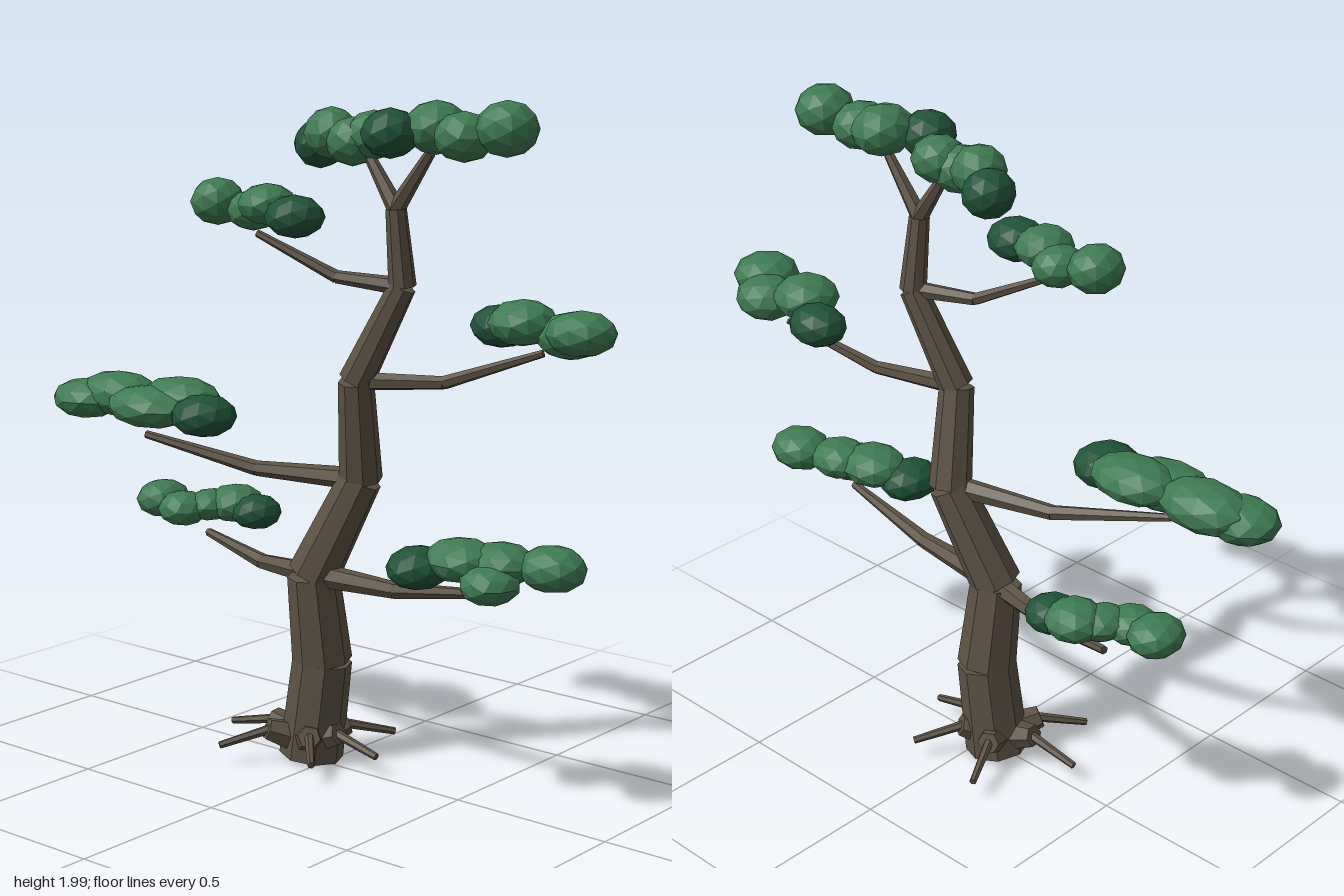
import * as THREE from 'three';

const mat = (name, color) => {
  const m = new THREE.MeshStandardMaterial({ color, flatShading: true });
  m.name = name;
  return m;
};

export function createModel() {
  const tree = new THREE.Group();
  tree.name = 'bonsaiTree';
  const bark = mat('bark', 0x5c5245);
  const leaf = mat('leafGreen', 0x3e7a52);
  const shade = mat('darkLeafGreen', 0x205239);

  // Chain of tapered straight limbs; each point is [x, y, z, radius]
  function limb(name, points, sides) {
    const group = new THREE.Group();
    group.name = name;
    for (let i = 0; i < points.length - 1; i++) {
      const a = new THREE.Vector3(...points[i].slice(0, 3));
      const b = new THREE.Vector3(...points[i + 1].slice(0, 3));
      const dir = b.clone().sub(a);
      const geo = new THREE.CylinderGeometry(points[i + 1][3], points[i][3], dir.length(), sides);
      const mesh = new THREE.Mesh(geo, bark);
      mesh.name = name + 'Segment';
      mesh.position.copy(a).add(b).multiplyScalar(0.5);
      mesh.quaternion.setFromUnitVectors(new THREE.Vector3(0, 1, 0), dir.normalize());
      group.add(mesh);
    }
    tree.add(group);
  }

  // Foliage pad: faceted ellipsoids [x, y, z, rx, ry, rz], the first one dark
  function pad(name, blobs) {
    const group = new THREE.Group();
    group.name = name;
    blobs.forEach(([x, y, z, rx, ry, rz], i) => {
      const geo = new THREE.IcosahedronGeometry(1, 1);
      geo.rotateY(i * 1.3);
      geo.scale(rx, ry, rz);
      const mesh = new THREE.Mesh(geo, i === 0 ? shade : leaf);
      mesh.name = i === 0 ? 'darkClump' : 'leafClump';
      mesh.position.set(x, y, z);
      group.add(mesh);
    });
    tree.add(group);
  }

  // Crooked trunk
  limb('trunk', [
    [-0.06, 0.02, -0.01, 0.097], [-0.025, 0.32, -0.02, 0.09], [-0.03, 0.59, 0.015, 0.078],
    [0.105, 0.89, -0.04, 0.064], [0.135, 1.19, 0.02, 0.052], [0.27, 1.47, -0.02, 0.04],
    [0.265, 1.69, 0.005, 0.03],
  ], 8);

  // Branches and the fork at the top
  limb('lowRightBranch', [[-0.03, 0.59, 0.01, 0.035], [-0.27, 0.58, -0.03, 0.024], [-0.54, 0.62, -0.08, 0.013]], 6);
  limb('lowLeftBranch', [[-0.03, 0.59, 0.01, 0.038], [0.29, 0.6, 0.03, 0.025], [0.63, 0.655, 0.06, 0.013]], 6);
  limb('middleRightBranch', [[0.105, 0.89, -0.03, 0.034], [-0.22, 0.89, 0.05, 0.023], [-0.57, 0.965, 0.16, 0.012]], 6);
  limb('upperLeftBranch', [[0.135, 1.19, 0.02, 0.028], [0.38, 1.2, -0.07, 0.02], [0.65, 1.3, -0.17, 0.011]], 6);
  limb('upperRightBranch', [[0.27, 1.47, -0.015, 0.026], [0.07, 1.485, 0.03, 0.019], [-0.16, 1.6, 0.11, 0.011]], 6);
  limb('forkRight', [[0.265, 1.69, 0.005, 0.026], [0.16, 1.85, 0.01, 0.015]], 6);
  limb('forkLeft', [[0.265, 1.69, 0.005, 0.026], [0.38, 1.85, 0.0, 0.015]], 6);

  // Surface roots: a thick stub, then a thin rod
  const cx = -0.065;
  [[0.265, 0.0], [0.165, 0.18], [-0.16, 0.22], [-0.285, 0.02], [-0.12, -0.25], [0.16, -0.22]].forEach(([dx, dz]) => {
    const at = (t, y, r) => [cx + dx * t, y, dz * t, r];
    limb('root', [at(0.15, 0.08, 0.05), at(0.46, 0.11, 0.034)], 6);
    limb('root', [at(0.4, 0.11, 0.015), at(1, 0.07, 0.011)], 6);
  });

  // Foliage pads
  pad('lowRightFoliage', [
    [-0.385, 0.7, -0.13, 0.08, 0.055, 0.08], [-0.47, 0.715, -0.13, 0.09, 0.06, 0.09],
    [-0.59, 0.7, -0.02, 0.08, 0.055, 0.08], [-0.69, 0.715, -0.035, 0.08, 0.06, 0.09],
    [-0.53, 0.71, -0.08, 0.07, 0.05, 0.08],
  ]);
  pad('lowLeftFoliage', [
    [0.45, 0.715, 0.13, 0.088, 0.062, 0.1], [0.56, 0.745, 0.08, 0.11, 0.062, 0.1],
    [0.68, 0.7, 0.11, 0.085, 0.056, 0.09], [0.81, 0.745, 0.0, 0.1, 0.066, 0.09],
    [0.67, 0.745, 0.04, 0.1, 0.06, 0.09],
  ]);
  pad('middleRightFoliage', [
    [-0.335, 1.05, 0.155, 0.1, 0.064, 0.1], [-0.48, 1.08, 0.1, 0.14, 0.064, 0.1],
    [-0.54, 1.055, 0.17, 0.15, 0.064, 0.11], [-0.71, 1.07, 0.13, 0.15, 0.07, 0.1],
    [-0.81, 1.05, 0.17, 0.115, 0.062, 0.1],
  ]);
  pad('upperLeftFoliage', [
    [0.475, 1.355, -0.21, 0.092, 0.062, 0.08], [0.6, 1.385, -0.14, 0.1, 0.066, 0.1],
    [0.73, 1.355, -0.18, 0.1, 0.066, 0.09], [0.82, 1.38, -0.1, 0.1, 0.064, 0.1],
  ]);
  pad('upperRightFoliage', [
    [0.0, 1.66, 0.13, 0.09, 0.062, 0.085], [-0.13, 1.685, 0.1, 0.082, 0.06, 0.09],
    [-0.21, 1.66, 0.07, 0.075, 0.06, 0.08], [-0.33, 1.68, 0.09, 0.078, 0.07, 0.085],
  ]);
  pad('crownRightFoliage', [
    [-0.04, 1.855, -0.03, 0.075, 0.072, 0.08], [0.035, 1.89, 0.01, 0.08, 0.075, 0.08],
    [0.12, 1.87, 0.02, 0.08, 0.07, 0.075], [0.18, 1.89, 0.0, 0.08, 0.07, 0.08],
  ]);
  pad('crownLeftFoliage', [
    [0.31, 1.905, 0.09, 0.083, 0.07, 0.085], [0.4, 1.92, 0.0, 0.088, 0.075, 0.1],
    [0.51, 1.9, 0.02, 0.085, 0.07, 0.09], [0.63, 1.925, -0.01, 0.088, 0.077, 0.09],
  ]);

  return tree;
}
